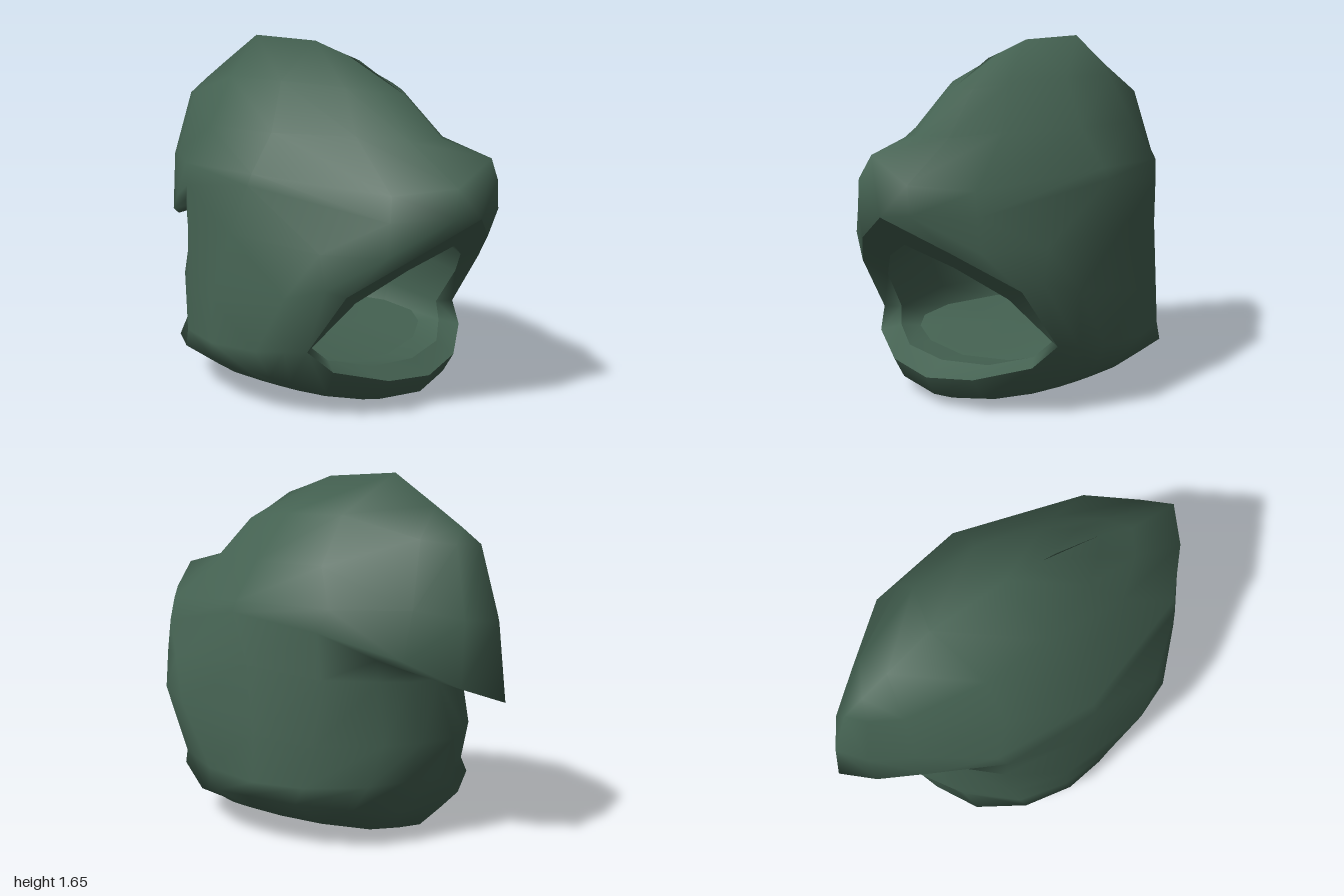
import * as THREE from 'three';
import { mergeVertices } from 'three/addons/utils/BufferGeometryUtils.js';

const cloth = new THREE.MeshStandardMaterial({ color: 0x446151 });
cloth.name = 'dark green cloth';
cloth.side = THREE.DoubleSide;

// Cross-section rows of the left half, each running from front to back.
const hemRows = [
  [[0, 0, .53], [.22, .03, .48], [.35, .055, .37], [.42, .075, .26], [.45, .085, .17],
    [.465, .09, .08], [.465, .09, -.1], [.4, .075, -.29], [.26, .05, -.46], [.12, .038, -.52], [0, .03, -.55]],
  [[0, .05, .65], [.25, .07, .6], [.44, .11, .46], [.54, .16, .33], [.59, .18, .25],
    [.63, .2, .15], [.65, .22, -.06], [.59, .21, -.3], [.44, .19, -.51], [.22, .15, -.61], [0, .14, -.67]],
  [[0, .14, .7], [.25, .17, .66], [.48, .24, .53], [.55, .33, .44], [.59, .32, .34],
    [.63, .3, .2], [.63, .28, -.08], [.56, .28, -.32], [.36, .28, -.53], [.18, .28, -.6], [0, .28, -.64]],
];
// Cheeks and nape, starting at the edge of the face opening.
const cheekRows = [
  hemRows[2].slice(3),
  [[.5, .6, .62], [.57, .63, .56], [.63, .58, .38], [.63, .5, -.08], [.53, .46, -.35],
    [.33, .47, -.59], [.17, .47, -.68], [0, .47, -.73]],
  [[.27, .77, .82], [.39, .77, .75], [.55, .78, .51], [.58, .8, 0], [.5, .76, -.37],
    [.31, .75, -.55], [.16, .735, -.61], [0, .73, -.64]],
  [[0, .91, .96], [.16, .93, .94], [.37, .92, .75], [.565, 1.03, .1], [.51, .97, -.36],
    [.34, .85, -.56], [.17, .8, -.64], [0, .78, -.67]],
];
// Peak, crown and the pointed tail overhanging the nape.
const crownRows = [
  cheekRows[3],
  [[0, 1.18, 1], [.15, 1.06, .94], [.35, 1.03, .74], [.54, 1.08, .1], [.48, 1.07, -.4],
    [.3, .85, -.67], [.15, .735, -.87], [0, .67, -1]],
  [[0, 1.24, .74], [.12, 1.23, .66], [.26, 1.25, .47], [.41, 1.25, .1], [.41, 1.25, -.3],
    [.26, 1.07, -.69], [.13, 1.03, -.87], [0, 1.02, -.96]],
  [[0, 1.42, .53], [.08, 1.43, .46], [.17, 1.45, .33], [.27, 1.47, .03], [.27, 1.47, -.3],
    [.17, 1.37, -.66], [.08, 1.35, -.79], [0, 1.35, -.86]],
  [[0, 1.56, .27], [0, 1.58, .2], [0, 1.6, .13], [0, 1.64, 0], [0, 1.655, -.39],
    [0, 1.51, -.62], [0, 1.42, -.76], [0, 1.35, -.86]],
];
// Hollow inside: neck plug edge, lower wall, then the vault above the opening.
const neckRows = [
  [[0, .19, .46], [.25, .205, .42], [.4, .235, .34], [.46, .26, .25], [.49, .27, .05],
    [.43, .27, -.25], [.25, .285, -.42], [0, .3, -.5]],
  [[0, .2, .6], [.25, .215, .56], [.42, .26, .45], [.48, .33, .39], [.53, .36, .05],
    [.47, .36, -.25], [.28, .37, -.46], [0, .38, -.54]],
];
const liningRows = [
  neckRows[1].slice(3),
  [[.38, .54, .57], [.53, .56, .15], [.46, .52, -.28], [.27, .54, -.46], [0, .54, -.53]],
  [[.2, .68, .72], [.46, .78, .2], [.39, .74, -.2], [.22, .75, -.36], [0, .75, -.42]],
  [[0, .77, .82], [.26, .95, .3], [.22, .93, -.02], [.12, .92, -.12], [0, .92, -.17]],
  [[0, .77, .82], [0, 1, .35], [0, .99, .1], [0, .96, -.05], [0, .92, -.17]],
];

// Skins the rows, mirrors them across x = 0 and smooths the seams.
function mirroredSkin(name, ...grids) {
  const pos = [];
  const same = (a, b) => a.every((v, i) => v === b[i]);
  const tri = (a, b, c) => {
    if (same(a, b) || same(b, c) || same(a, c)) return;
    const flip = ([x, y, z]) => [x === 0 ? 0 : -x, y, z];
    pos.push(...a, ...b, ...c, ...flip(a), ...flip(c), ...flip(b));
  };
  for (const rows of grids) {
    for (let i = 0; i + 1 < rows.length; i++) {
      for (let j = 0; j + 1 < rows[i].length; j++) {
        const a = rows[i][j], b = rows[i][j + 1], c = rows[i + 1][j + 1], d = rows[i + 1][j];
        tri(a, b, c);
        tri(a, c, d);
      }
    }
  }
  let geo = new THREE.BufferGeometry();
  geo.setAttribute('position', new THREE.Float32BufferAttribute(pos, 3));
  geo = mergeVertices(geo, 1e-4);
  geo.computeVertexNormals();
  const mesh = new THREE.Mesh(geo, cloth);
  mesh.name = name;
  return mesh;
}

// A row shrunk to one point, for closing a loop with a fan.
const centre = (row, y) => row.map(() => [0, y, 0]);
// The same rows facing inwards.
const inward = rows => rows.map(row => [...row].reverse());
// Edge of the face opening from top centre, down the side, to bottom centre.
const openingLoop = (upper, lower) =>
  [upper[3][0], upper[2][0], upper[1][0], lower[3], lower[2], lower[1], lower[0]];

export function createModel() {
  const group = new THREE.Group();
  group.name = 'hood';

  group.add(mirroredSkin('hoodShell', hemRows, cheekRows, crownRows));
  group.add(mirroredSkin('underside', [centre(hemRows[0], .09), hemRows[0]]));
  group.add(mirroredSkin('openingRim', [
    openingLoop(liningRows, neckRows[1]),
    openingLoop(cheekRows, hemRows[2]),
  ]));
  group.add(mirroredSkin('innerLining', inward(neckRows), inward(liningRows)));
  group.add(mirroredSkin('neckPlug', [neckRows[0], centre(neckRows[0], .26)]));

  return group;
}
